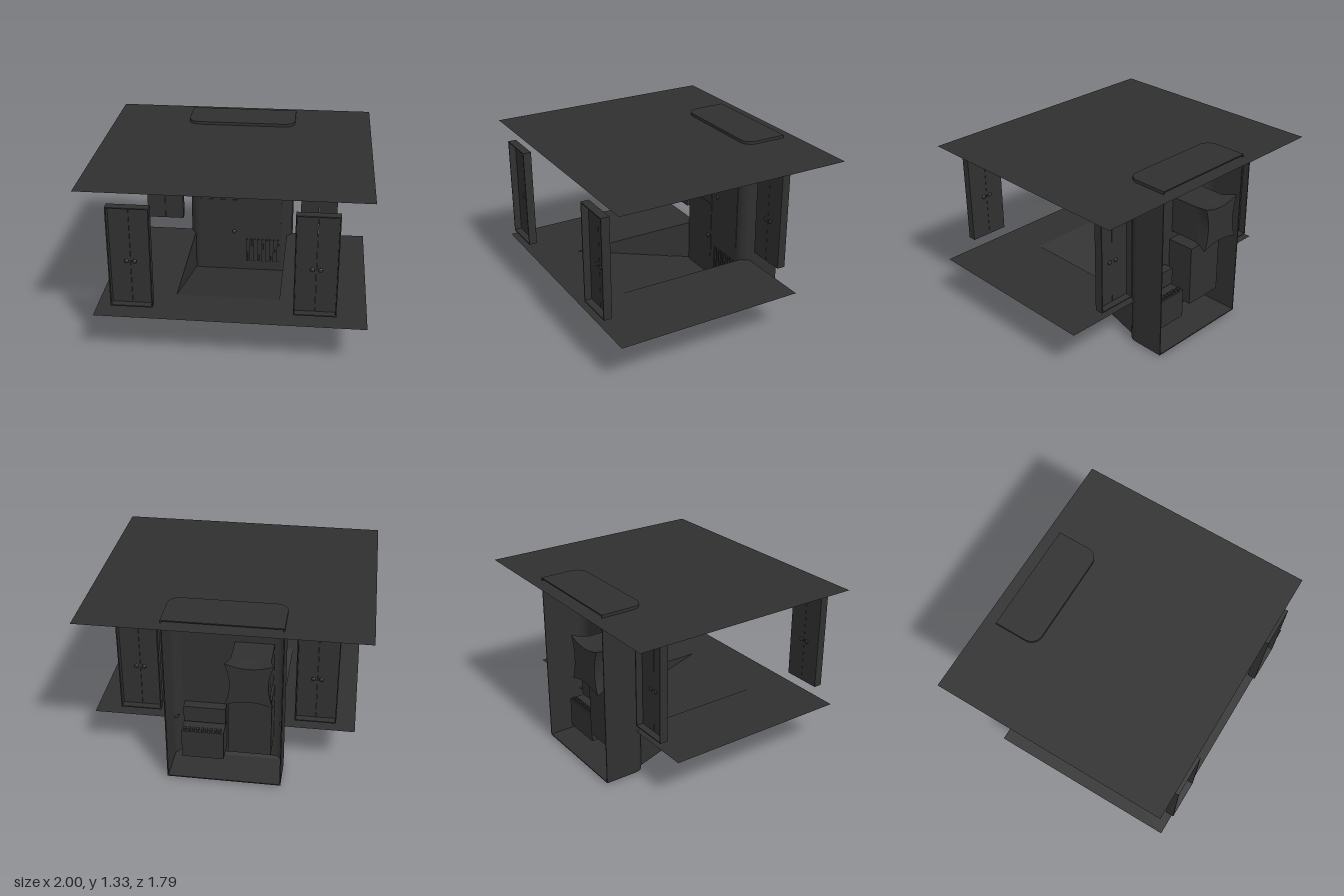
import * as THREE from 'three';

const dark = new THREE.MeshStandardMaterial({ color: 0x303030, side: THREE.DoubleSide });
dark.name = 'charcoal';
const orange = new THREE.MeshStandardMaterial({ color: 0xc8640f, side: THREE.DoubleSide });
orange.name = 'orange glow';

function add(parent, name, geo, x = 0, y = 0, z = 0, mat = dark) {
  const m = new THREE.Mesh(geo, mat);
  m.name = name;
  m.position.set(x, y, z);
  parent.add(m);
  return m;
}

// Box given by its limits on each axis
function block(parent, name, x0, x1, y0, y1, z0, z1, mat = dark) {
  return add(parent, name, new THREE.BoxGeometry(x1 - x0, y1 - y0, z1 - z0),
    (x0 + x1) / 2, (y0 + y1) / 2, (z0 + z1) / 2, mat);
}

const extrude = (shape, depth) =>
  new THREE.ExtrudeGeometry(shape, { depth, bevelEnabled: false, curveSegments: 10 });

function group(parent, name) {
  const g = new THREE.Group();
  g.name = name;
  parent.add(g);
  return g;
}

function polygon(points) {
  return new THREE.Shape(points.map(([x, y]) => new THREE.Vector2(x, y)));
}

// Shallow two-door cupboard with an open back; dir is the way its doors face
function cupboard(parent, cx, doorZ, dir) {
  const g = group(parent, 'cupboard');
  const w = 0.148, y0 = 0.455, y1 = 1.21, t = 0.008;
  const backZ = doorZ - dir * 0.062;
  const zs = [Math.min(doorZ, backZ), Math.max(doorZ, backZ)];
  for (const s of [-1, 1]) {
    const side = cx + s * w;
    block(g, 'cupboardSide', Math.min(side, side - s * t), Math.max(side, side - s * t), y0, y1, ...zs);
    const a = cx + s * 0.001, b = cx + s * (w - t);
    block(g, 'cupboardDoor', Math.min(a, b), Math.max(a, b), y0 + t, y1 - t,
      doorZ - dir * 0.005 - 0.005, doorZ - dir * 0.005 + 0.005);
    for (const k of [0.004, -0.018]) {
      add(g, 'cupboardKnob', new THREE.SphereGeometry(0.016, 14, 10), cx + s * 0.028, 0.79, doorZ + dir * k)
        .scale.z = 0.5;
    }
  }
  block(g, 'cupboardTop', cx - w, cx + w, y1 - t, y1, ...zs);
  block(g, 'cupboardSill', cx - w, cx + w, y0, y0 + t, ...zs);
}

// Square outline with sides drawn inwards
function pinchedSquare(h, mid) {
  const s = new THREE.Shape();
  s.moveTo(-h, -h);
  s.quadraticCurveTo(0, -mid, h, -h);
  s.quadraticCurveTo(mid, 0, h, h);
  s.quadraticCurveTo(0, mid, -h, h);
  s.quadraticCurveTo(-mid, 0, -h, -h);
  return s;
}

// Fan housing lofted through squares that flare and pinch towards the back
function housing() {
  const rings = [[0.14, 0.14, -0.48], [0.14, 0.14, -0.7], [0.15, 0.12, -0.75], [0.168, 0.1, -0.815]];
  const pos = [], idx = [], n = 32;
  for (const [h, mid, z] of rings) {
    const pts = pinchedSquare(h, mid).getPoints(8);
    for (let i = 0; i < n; i++) pos.push(pts[i].x, pts[i].y, z);
  }
  for (let r = 0; r < rings.length - 1; r++) {
    for (let i = 0; i < n; i++) {
      const j = (i + 1) % n, a = r * n + i, b = r * n + j;
      idx.push(a, b, a + n, b, b + n, a + n);
    }
  }
  const g = new THREE.BufferGeometry();
  g.setAttribute('position', new THREE.Float32BufferAttribute(pos, 3));
  g.setIndex(idx);
  const flat = g.toNonIndexed();
  flat.computeVertexNormals();
  return flat;
}

export function createModel() {
  const model = new THREE.Group();
  model.name = 'kitchenRoom';

  // Roof and floor sheets, the floor notched for the ramp
  const roof = new THREE.PlaneGeometry(2, 1.77).rotateX(-Math.PI / 2);
  add(model, 'roof', roof, 0, 1.308, -0.005);
  const floor = polygon([[-0.92, -0.88], [1, -0.88], [1, 0.54], [0.375, 0.54],
    [0.375, -0.54], [-0.375, -0.54], [-0.375, 0.54], [-0.92, 0.54]]);
  add(model, 'floor', new THREE.ShapeGeometry(floor).rotateX(-Math.PI / 2), 0, 0.355, 0);

  // Sunken ramp
  const ramp = group(model, 'ramp');
  const len = Math.hypot(1.12, 0.355);
  const slope = new THREE.PlaneGeometry(0.75, len).rotateX(-Math.PI / 2 - Math.atan2(0.355, 1.12));
  add(ramp, 'rampSlope', slope, 0, 0.1775, -0.02);
  const cheek = polygon([[-0.54, 0.355], [0.49, 0.355], [0.49, 0.03]]);
  for (const s of [-1, 1]) {
    add(ramp, 'rampSide', new THREE.ShapeGeometry(cheek).rotateY(Math.PI / 2), s * 0.375, 0, 0);
  }

  // Cupboards at the front and the back
  for (const s of [-1, 1]) {
    cupboard(model, s * 0.634, 0.836, -1);
    cupboard(model, s * 0.634, -0.53, 1);
  }

  // Alcove shell with rounded front corners and an open back
  const alcove = group(model, 'alcove');
  const W = 0.415, R = 0.085, F = 0.47, B = 0.8, T = 0.008;
  const plan = new THREE.Shape();
  plan.moveTo(-W, B);
  plan.lineTo(-W, F + R);
  plan.absarc(-W + R, F + R, R, Math.PI, Math.PI * 1.5);
  plan.lineTo(W - R, F);
  plan.absarc(W - R, F + R, R, Math.PI * 1.5, Math.PI * 2);
  plan.lineTo(W, B);
  for (const [name, y] of [['alcoveTop', 1.322], ['alcoveBottom', 0.015]]) {
    add(alcove, name, extrude(plan, T).rotateX(-Math.PI / 2), 0, y, 0);
  }
  const wall = new THREE.Shape();
  wall.moveTo(W, B);
  wall.lineTo(W, F + R);
  wall.absarc(W - R, F + R, R, 0, -Math.PI / 2, true);
  wall.lineTo(W - R, F + T);
  wall.absarc(W - R, F + R, R - T, -Math.PI / 2, 0);
  wall.lineTo(W - T, B);
  const right = extrude(wall, 1.307).rotateX(-Math.PI / 2);
  add(alcove, 'alcoveSide', right, 0, 0.015, 0);
  const left = right.clone().rotateY(Math.PI).translate(0, 0, 0);
  // Mirror the side wall across x, keeping its faces outward
  const p = right.attributes.position, q = left.attributes.position;
  for (let i = 0; i < p.count; i += 3) {
    for (let k = 0; k < 3; k++) q.setXYZ(i + k, -p.getX(i + 2 - k), p.getY(i + 2 - k), p.getZ(i + 2 - k));
  }
  left.computeVertexNormals();
  add(alcove, 'alcoveSide', left, 0, 0.015, 0);

  // Front wall with the fan opening
  const fx = -0.182, fy = 0.87;
  const front = polygon([[-0.33, 0.015], [0.33, 0.015], [0.33, 1.33], [-0.33, 1.33]]);
  const opening = new THREE.Path();
  opening.absarc(fx, fy, 0.122, 0, Math.PI * 2, true);
  front.holes.push(opening);
  add(alcove, 'alcoveFront', extrude(front, T), 0, 0, -0.478);

  // Doors, appliance bodies and their knobs
  block(alcove, 'tallDoor', 0.015, 0.33, 0.44, 1.04, -0.472, -0.466);
  block(alcove, 'lowDoor', -0.33, -0.02, 0.2, 0.67, -0.472, -0.466);
  block(alcove, 'coolerBody', -0.33, -0.02, 0.2, 0.67, -0.69, -0.478);
  block(alcove, 'stoveBody', 0.02, 0.33, 0.1, 0.33, -0.66, -0.478);
  block(alcove, 'stoveHood', 0.02, 0.33, 0.34, 0.47, -0.55, -0.478);
  for (const [x, y] of [[0.065, 0.765], [-0.055, 0.385]]) {
    add(alcove, 'doorKnob', new THREE.SphereGeometry(0.017, 14, 10), x, y, -0.463).scale.z = 0.6;
  }
  for (let i = 0; i < 9; i++) {
    const x = 0.05 + i * 0.032;
    block(alcove, 'ventSlat', x - 0.008, x + 0.008, 0.12, 0.32, -0.472, -0.458);
    block(alcove, 'burnerStud', x - 0.009, x + 0.009, 0.33, 0.345, -0.65, -0.62);
  }

  // Fan heater
  const fan = group(model, 'fanHeater');
  fan.position.set(fx, fy, 0);
  add(fan, 'fanHousing', housing());
  add(fan, 'fanBack', new THREE.ShapeGeometry(pinchedSquare(0.168, 0.1), 8).rotateY(Math.PI), 0, 0, -0.815);
  const frame = pinchedSquare(0.168, 0.13);
  const ring = new THREE.Path();
  ring.absarc(0, 0, 0.122, 0, Math.PI * 2, true);
  frame.holes.push(ring);
  add(fan, 'fanFrame', extrude(frame, 0.006), 0, 0, -0.47);
  add(fan, 'fanGlow', new THREE.CircleGeometry(0.13, 32), 0, 0, -0.482, orange);
  add(fan, 'fanHub', new THREE.CylinderGeometry(0.045, 0.062, 0.05, 20).rotateX(Math.PI / 2), 0, 0, -0.455);
  for (let i = 0; i < 4; i++) {
    const a = Math.PI / 4 + i * Math.PI / 2;
    const strut = add(fan, 'fanStrut', new THREE.BoxGeometry(0.1, 0.044, 0.016),
      Math.cos(a) * 0.085, Math.sin(a) * 0.085, -0.458);
    strut.rotation.z = a;
  }
  return model;
}
